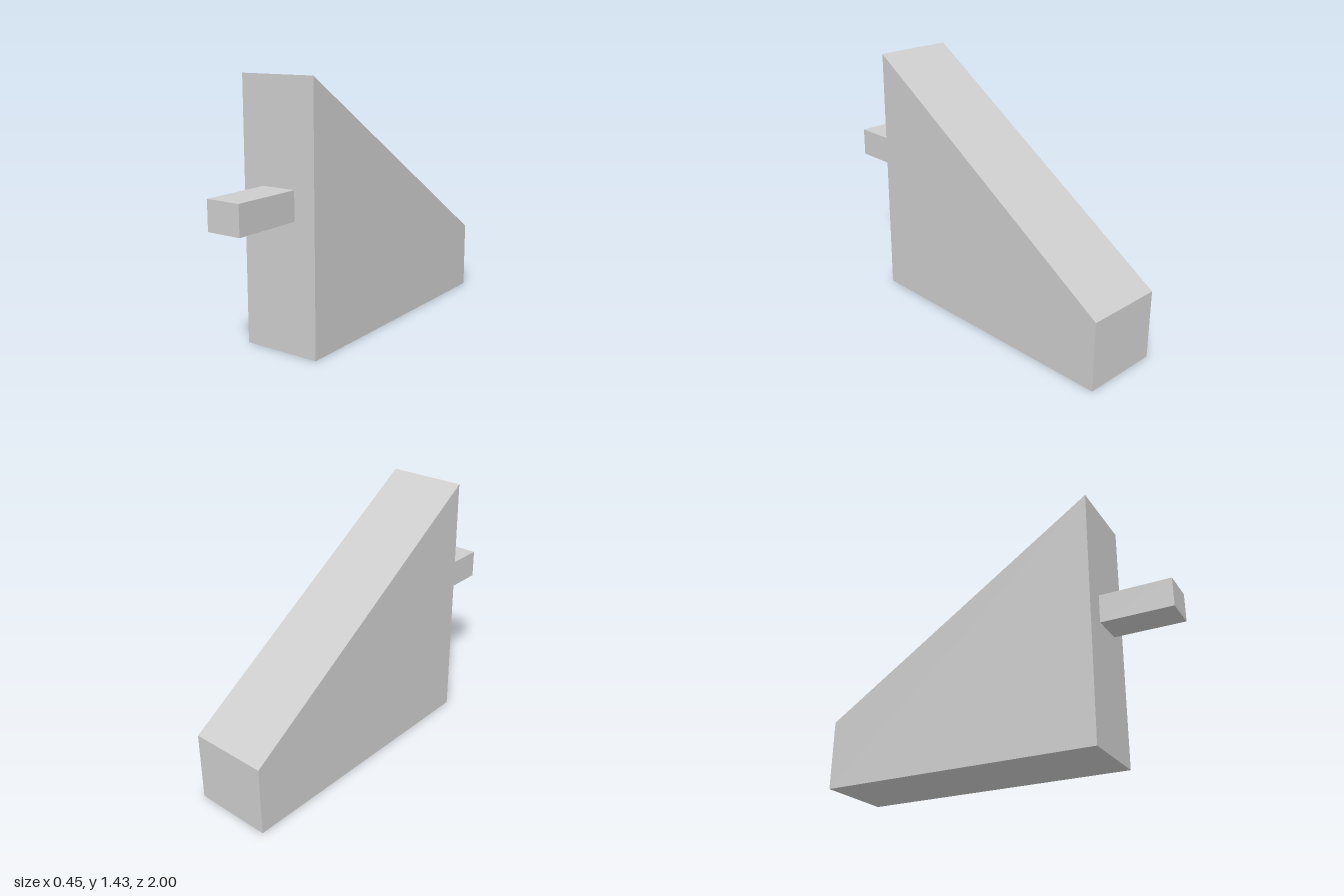
import * as THREE from 'three';

const WIDTH = 0.45;

export function createModel() {
  const group = new THREE.Group();
  const grey = new THREE.MeshStandardMaterial({ color: 0xcccccc });
  grey.name = 'light grey';

  // Wedge body: side profile in (z, y), extruded across x
  const profile = new THREE.Shape([
    new THREE.Vector2(-1, 0),
    new THREE.Vector2(0.6, 0),
    new THREE.Vector2(0.6, 1.43),
    new THREE.Vector2(-1, 0.39),
  ]);
  const bodyGeometry = new THREE.ExtrudeGeometry(profile, { depth: WIDTH, bevelEnabled: false });
  bodyGeometry.translate(0, 0, -WIDTH / 2).rotateY(-Math.PI / 2);
  const body = new THREE.Mesh(bodyGeometry, grey);
  body.name = 'wedgeBody';
  group.add(body);

  // Rectangular peg on the upright front face
  const peg = new THREE.Mesh(new THREE.BoxGeometry(0.2, 0.16, 0.4), grey);
  peg.position.set(0, 0.787, 0.8);
  peg.name = 'frontPeg';
  group.add(peg);

  return group;
}
